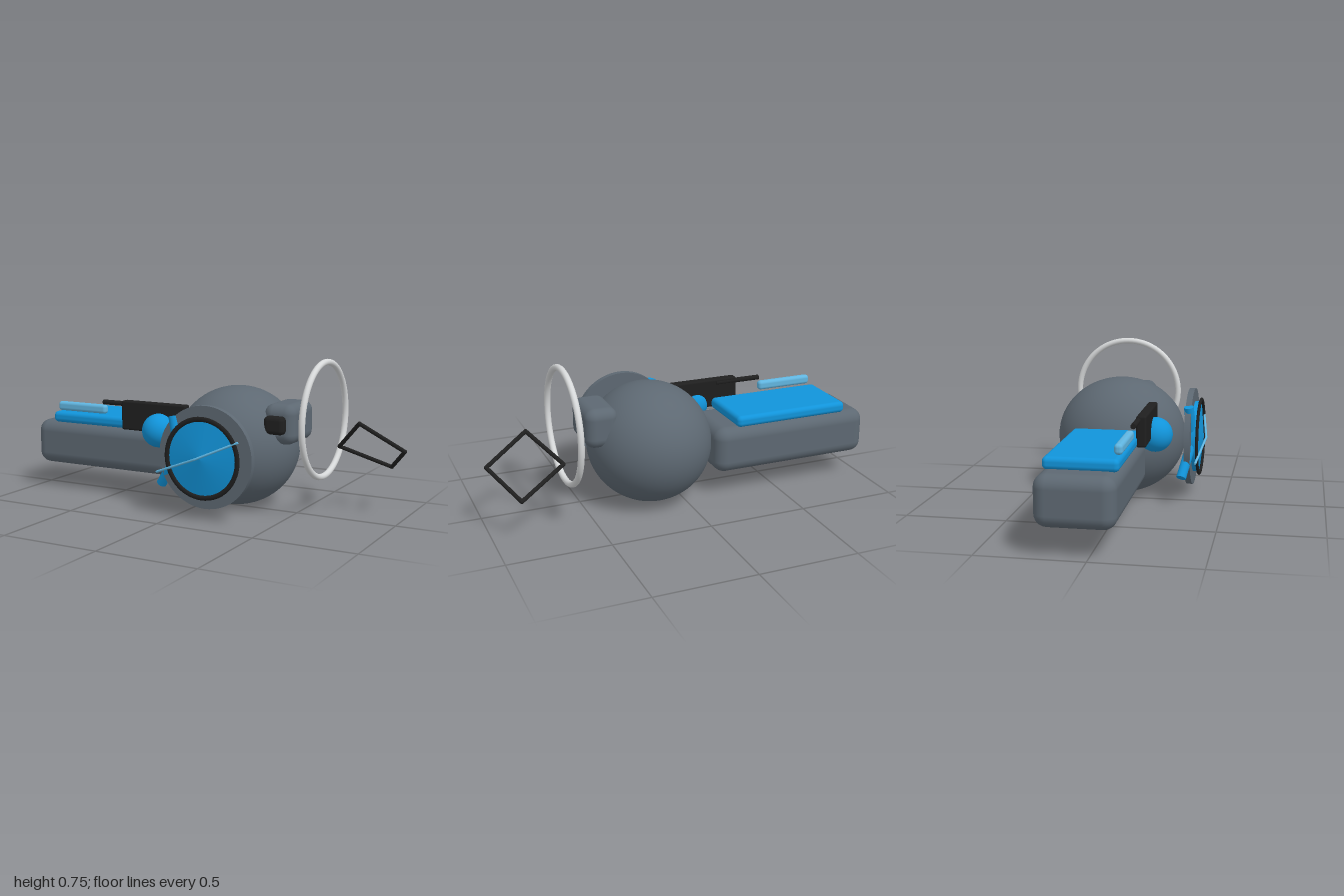
import * as THREE from 'three';
import { RoundedBoxGeometry } from 'three/addons/geometries/RoundedBoxGeometry.js';

const material = (name, color) => {
  const m = new THREE.MeshStandardMaterial({ color });
  m.name = name;
  return m;
};

export function createModel() {
  const grey = material('slate grey', 0x5d6872);
  const blue = material('bright blue', 0x1194da);
  const paleBlue = material('pale blue', 0x60b5e0);
  const black = material('black', 0x1f1f1f);
  const white = material('off white', 0xd6d8d9);
  const model = new THREE.Group();

  const add = (name, geometry, mat, x = 0, y = 0, z = 0) => {
    const mesh = new THREE.Mesh(geometry, mat);
    mesh.name = name;
    mesh.position.set(x, y, z);
    model.add(mesh);
    return mesh;
  };
  // rounded block given by its extents on each axis
  const block = (name, mat, [x0, x1], [y0, y1], [z0, z1], r) =>
    add(name, new RoundedBoxGeometry(x1 - x0, y1 - y0, z1 - z0, 4, r), mat,
      (x0 + x1) / 2, (y0 + y1) / 2, (z0 + z1) / 2);
  // round bar between two points
  const bar = (name, mat, a, b, r) => {
    const from = new THREE.Vector3(...a), to = new THREE.Vector3(...b);
    const dir = to.clone().sub(from);
    const mesh = add(name, new THREE.CylinderGeometry(r, r, dir.length(), 16), mat);
    mesh.position.copy(from).addScaledVector(dir, 0.5);
    mesh.quaternion.setFromUnitVectors(new THREE.Vector3(0, 1, 0), dir.normalize());
    return mesh;
  };
  const ball = (name, mat, r, x, y, z) =>
    add(name, new THREE.SphereGeometry(r, 48, 32), mat, x, y, z);

  // main body
  ball('body', grey, 1, 0.147, 0.304, -0.054).scale.set(0.311, 0.301, 0.331);

  // long rear block with its cover and rail
  block('tailBlock', grey, [-1, -0.15], [0.131, 0.367], [-0.24, 0.123], 0.06);
  block('tailCover', blue, [-0.885, -0.27], [0.362, 0.42], [-0.22, 0.118], 0.022);
  block('coverRail', paleBlue, [-0.845, -0.542], [0.43, 0.478], [0.088, 0.126], 0.016);

  // side unit with barrel and joint
  block('sideUnit', black, [-0.417, -0.04], [0.366, 0.516], [0.112, 0.16], 0.01);
  bar('barrel', black, [-0.55, 0.495, 0.122], [-0.3, 0.495, 0.122], 0.013);
  ball('joint', blue, 0.085, -0.186, 0.382, 0.17);

  // round front plate, hub and trim
  const cx = 0.161, cy = 0.304;
  const disc = (name, mat, r0, r1, z0, z1) => {
    const g = new THREE.CylinderGeometry(r1, r0, z1 - z0, 64).rotateX(Math.PI / 2);
    return add(name, g, mat, cx, cy, (z0 + z1) / 2);
  };
  disc('frontPlate', grey, 0.249, 0.249, 0.296, 0.326);
  disc('hub', blue, 0.182, 0.182, 0.326, 0.35);
  disc('hubCone', blue, 0.18, 0, 0.35, 0.374);
  add('hubTrim', new THREE.TorusGeometry(0.189, 0.012, 12, 64), black, cx, cy, 0.356)
    .scale.z = 0.65;

  // bent pointer across the hub
  const pointer = [[-0.088, 0.216, 0.355], [0.14, 0.304, 0.388], [0.352, 0.398, 0.355]];
  for (let i = 0; i < 2; i++) bar('pointer', paleBlue, pointer[i], pointer[i + 1], 0.006);
  ball('pointerTip', paleBlue, 0.006, ...pointer[1]);

  // two short arms beside the hub
  bar('upperArm', blue, [-0.016, 0.49, 0.313], [0.02, 0.33, 0.328], 0.025);
  bar('lowerArm', blue, [-0.1, 0.145, 0.288], [0.0, 0.285, 0.322], 0.025);

  // left side pod
  block('sidePod', grey, [0.342, 0.508], [0.346, 0.543], [-0.19, 0.081], 0.05);
  block('podSensor', black, [0.365, 0.47], [0.401, 0.49], [0.06, 0.12], 0.022);

  // large open hoop
  add('hoop', new THREE.TorusGeometry(0.281, 0.0155, 16, 80).rotateY(Math.PI / 2), white,
    0.596, 0.46, -0.098);

  // tilted four-sided frame
  const corners = [
    [0.634, 0.313, -0.208], [0.778, 0.457, -0.087],
    [0.987, 0.329, -0.148], [0.869, 0.211, -0.323],
  ];
  corners.forEach((c, i) => {
    bar('frameBar', black, c, corners[(i + 1) % 4], 0.01);
    ball('frameCorner', black, 0.01, ...c);
  });

  return model;
}
